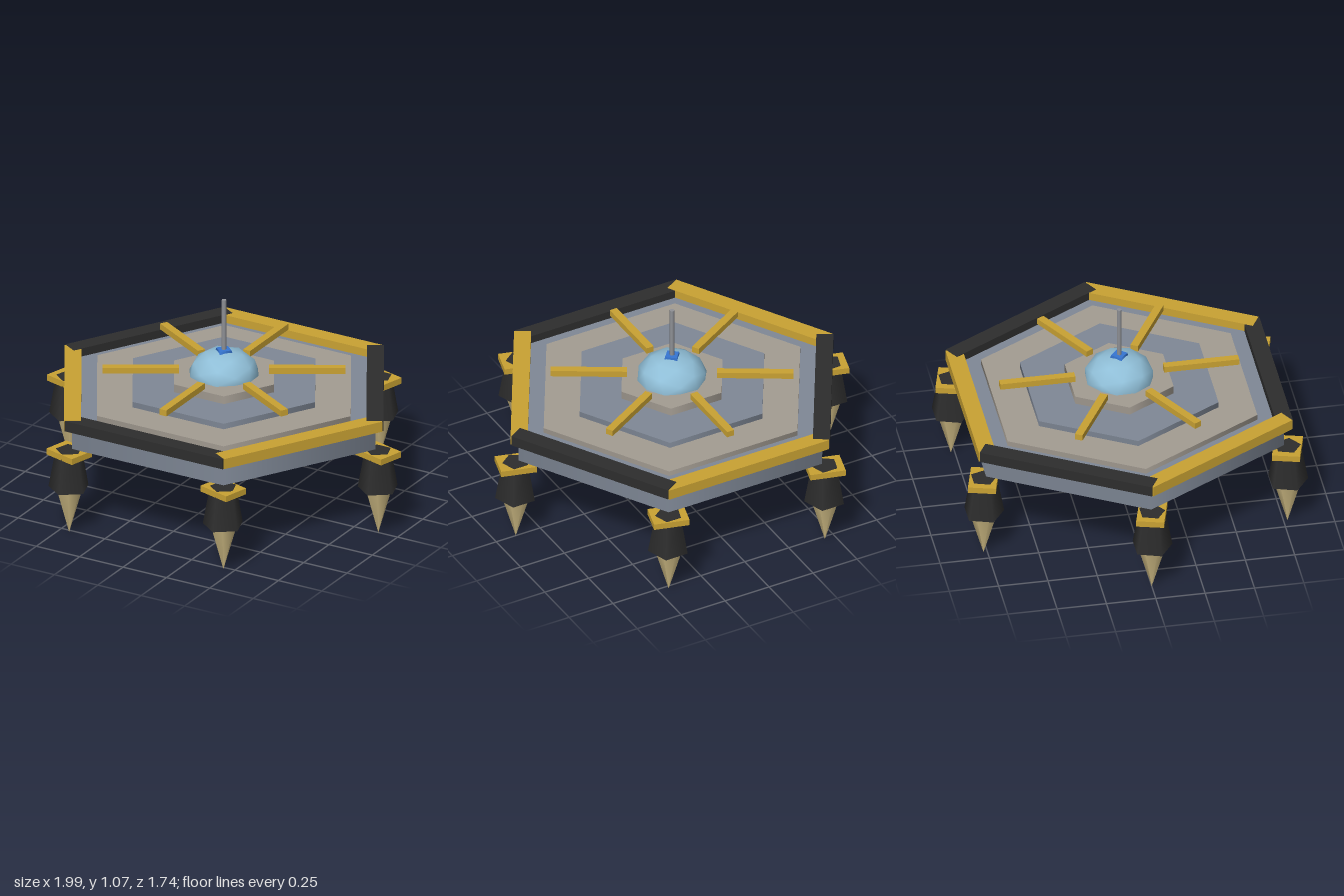
import * as THREE from 'three';

const paint = (name, color) => {
  const m = new THREE.MeshStandardMaterial({ color });
  m.name = name;
  return m;
};

export function createModel() {
  const gold = paint('gold', 0xc9a233);
  const black = paint('black', 0x2d2d2d);
  const slate = paint('slate', 0x7f8896);
  const stone = paint('stone', 0xa39c92);
  const glass = paint('pale blue', 0x90bfd8);
  const blue = paint('blue', 0x3676d2);
  const metal = paint('metal', 0x8f9196);
  const brass = paint('pale brass', 0xd2be86);

  const model = new THREE.Group();
  model.name = 'platform';
  const add = (name, geometry, material, x = 0, y = 0, z = 0, turn = 0) => {
    const mesh = new THREE.Mesh(geometry, material);
    mesh.name = name;
    mesh.position.set(x, y, z);
    mesh.rotation.y = turn;
    model.add(mesh);
    return mesh;
  };

  // Stacked hexagonal deck plates with corners on the x axis
  const hexPlate = (name, radius, bottom, top, material) =>
    add(name, new THREE.CylinderGeometry(radius, radius, top - bottom, 6), material,
      0, (top + bottom) / 2, 0, Math.PI / 2);
  hexPlate('deckBase', 0.872, 0.45, 0.572, slate);
  hexPlate('outerDeck', 0.73, 0.57, 0.6, stone);
  hexPlate('middleDeck', 0.525, 0.6, 0.63, slate);
  hexPlate('innerDeck', 0.288, 0.63, 0.672, stone);

  // Rim beams in alternating colours, and spokes pointing at the middle of each
  const beam = new THREE.BoxGeometry(0.91, 0.055, 0.085);
  const spoke = new THREE.BoxGeometry(0.04, 0.032, 0.38);
  const lift = [0, 0.001, 0.002, 0, 0.002, 0.001]; // keeps crossing beam ends apart
  for (let i = 0; i < 6; i++) {
    const a = i * Math.PI / 3;
    add('rimBeam', beam, i % 2 ? gold : black,
      Math.sin(a) * 0.753, 0.586 + lift[i], Math.cos(a) * 0.753, a);
    add('spoke', spoke, gold, Math.sin(a) * 0.415, 0.69, Math.cos(a) * 0.415, a);
  }

  // Central dome, gem and mast
  const dome = new THREE.IcosahedronGeometry(0.178, 1);
  dome.rotateY(0.3).scale(1, 0.72, 1);
  add('dome', dome, glass, 0, 0.67, 0);
  add('gem', new THREE.CylinderGeometry(0.042, 0.054, 0.04, 4), blue, 0, 0.781, 0, 0.08);
  add('mast', new THREE.CylinderGeometry(0.012, 0.012, 0.3, 8), metal, 0, 0.92, 0);

  // Legs below each corner, all turned the same way
  const cap = new THREE.BoxGeometry(0.182, 0.032, 0.14);
  const sleeve = new THREE.CylinderGeometry(0.068, 0.105, 0.208, 5);
  const spike = new THREE.ConeGeometry(0.068, 0.236, 7);
  spike.rotateX(Math.PI);
  for (let i = 0; i < 6; i++) {
    const a = i * Math.PI / 3;
    const x = Math.cos(a) * 0.889, z = Math.sin(a) * 0.889;
    add('legCap', cap, gold, x, 0.434, z, -0.27);
    add('legSleeve', sleeve, black, x, 0.347, z);
    add('legSpike', spike, brass, x, 0.118, z);
  }
  return model;
}
